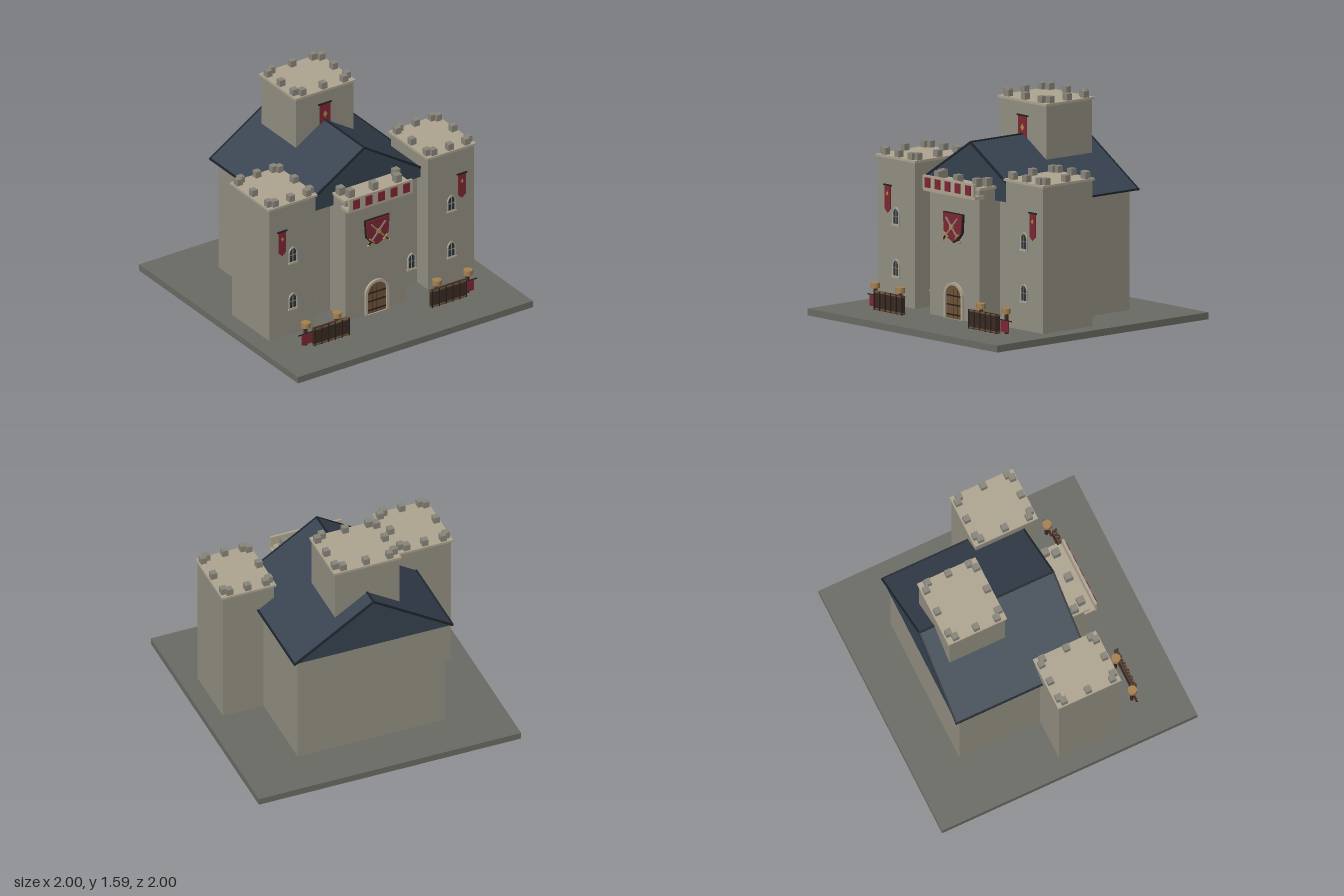
import * as THREE from 'three';

const mat = (color) => new THREE.MeshStandardMaterial({ color, flatShading: true });
const M = {
  base: mat(0x6b6b64), wall: mat(0x928e81), trim: mat(0xaea48f), merlon: mat(0x88857a),
  roof: mat(0x36424f), edge: mat(0x1c242c), red: mat(0x7c2633), gold: mat(0xb08a45),
  glass: mat(0x263440), wood: mat(0x6e5238), darkWood: mat(0x3b2a22), iron: mat(0x24221f), tan: mat(0xa5804f),
};

function add(parent, name, geo, material, x = 0, y = 0, z = 0) {
  const mesh = new THREE.Mesh(geo, material);
  mesh.name = name;
  mesh.position.set(x, y, z);
  parent.add(mesh);
  return mesh;
}

// Box given by its extents on each axis
function box(parent, name, material, x0, x1, y0, y1, z0, z1) {
  return add(parent, name, new THREE.BoxGeometry(x1 - x0, y1 - y0, z1 - z0), material,
    (x0 + x1) / 2, (y0 + y1) / 2, (z0 + z1) / 2);
}

function group(parent, name, x = 0, y = 0, z = 0) {
  const g = new THREE.Group();
  g.name = name;
  g.position.set(x, y, z);
  parent.add(g);
  return g;
}

const extrude = (shape, depth) =>
  new THREE.ExtrudeGeometry(shape, { depth, bevelEnabled: false, curveSegments: 8 });
const polygon = (pts) => new THREE.Shape(pts.map(([x, y]) => new THREE.Vector2(x, y)));

// Round-headed outline standing on y0
function archPath(Type, w, h, y0 = 0) {
  const p = new Type();
  p.moveTo(-w, y0);
  p.lineTo(w, y0);
  p.lineTo(w, h - w);
  p.absarc(0, h - w, w, 0, Math.PI, false);
  p.lineTo(-w, y0);
  return p;
}

// Pointed outline for the windows
function lancet(Type, w, h, y0 = 0) {
  const p = new Type();
  p.moveTo(-w, y0);
  p.lineTo(w, y0);
  p.lineTo(w, h - 1.5 * w);
  p.quadraticCurveTo(w, h - 0.5 * w, 0, h);
  p.quadraticCurveTo(-w, h - 0.5 * w, -w, h - 1.5 * w);
  p.lineTo(-w, y0);
  return p;
}

function windowAt(parent, x, y, z) {
  const g = group(parent, 'window', x, y, z);
  const frame = lancet(THREE.Shape, 0.035, 0.13);
  frame.holes.push(lancet(THREE.Path, 0.027, 0.12, 0.008));
  add(g, 'windowFrame', extrude(frame, 0.01), M.trim);
  add(g, 'windowGlass', extrude(lancet(THREE.Shape, 0.028, 0.121, 0.006), 0.004), M.glass);
  box(g, 'mullion', M.merlon, -0.002, 0.002, 0.008, 0.118, 0.003, 0.007);
  box(g, 'transom', M.merlon, -0.026, 0.026, 0.06, 0.064, 0.003, 0.007);
  box(g, 'windowSill', M.trim, -0.04, 0.04, -0.006, 0.006, 0, 0.015);
}

// Hanging banner; y is its top edge
function banner(parent, x, y, z, w, h) {
  const g = group(parent, 'banner', x, y, z);
  const a = w / 2;
  add(g, 'bannerCloth', extrude(polygon([[-a, 0], [-a, -h * 0.86], [0, -h], [a, -h * 0.86], [a, 0]]), 0.006), M.red);
  const d = w * 0.2;
  add(g, 'bannerDiamond', extrude(polygon([[0, d * 1.5], [-d, 0], [0, -d * 1.5], [d, 0]]), 0.003), M.gold, 0, -w * 0.95, 0.005);
  box(g, 'bannerRod', M.iron, -a - 0.012, a + 0.012, -0.004, 0.006, -0.001, 0.009);
}

// Square tower with cap slab and a ring of merlons
function tower(parent, name, x, z, hx, hz, y0, y1, along, across) {
  const g = group(parent, name, x, 0, z);
  box(g, 'towerWall', M.wall, -hx, hx, y0, y1, -hz, hz);
  box(g, 'towerCap', M.trim, -hx - 0.012, hx + 0.012, y1 - 0.005, y1 + 0.012, -hz - 0.012, hz + 0.012);
  const merlon = (mx, mz) => add(g, 'merlon', new THREE.BoxGeometry(0.046, 0.05, 0.046), M.merlon, mx, y1 + 0.035, mz);
  for (const s of [-1, 1]) for (const k of [-1, 0, 1]) {
    merlon(k * along, s * (hz - 0.022));
    merlon(s * (hx - 0.021), k * across);
  }
  return g;
}

function hall(parent) {
  const g = group(parent, 'hall');
  box(g, 'hallWall', M.wall, -0.56, 0.56, 0.05, 0.9, -0.65, 0.31);
  add(g, 'roof', extrude(polygon([[-0.605, 0.915], [0.605, 0.915], [0, 1.3]]), 1.05), M.roof, 0, 0, -0.695);
  // dark strips along gables, eaves and ridge
  const len = Math.hypot(0.605, 0.385);
  for (const s of [-1, 1]) {
    for (const z of [-0.695, 0.355]) {
      const m = add(g, 'gableTrim', new THREE.BoxGeometry(len, 0.014, 0.012), M.edge, s * 0.3025, 1.1035, z);
      m.rotation.z = -s * Math.atan2(0.385, 0.605);
    }
    box(g, 'eaveTrim', M.edge, s * 0.603 - 0.006, s * 0.603 + 0.006, 0.91, 0.922, -0.7, 0.36);
    windowAt(g, s * 0.43, 0.17, 0.31);
  }
  box(g, 'ridgeTrim', M.edge, -0.007, 0.007, 1.29, 1.304, -0.7, 0.36);
}

function sword(parent, tilt) {
  const g = group(parent, 'sword', 0, 0, 0.031);
  box(g, 'swordBlade', M.merlon, -0.006, 0.006, -0.08, 0.09, -0.003, 0.004);
  box(g, 'swordGuard', M.gold, -0.025, 0.025, -0.09, -0.08, -0.005, 0.006);
  box(g, 'swordGrip', M.iron, -0.005, 0.005, -0.125, -0.09, -0.004, 0.005);
  add(g, 'swordPommel', new THREE.SphereGeometry(0.01, 8, 6), M.gold, 0, -0.13, 0);
  g.rotation.z = tilt;
}

function gatehouse(parent) {
  const g = group(parent, 'gatehouse');
  box(g, 'gateWall', M.wall, -0.26, 0.26, 0.05, 1.0, 0.2, 0.505);
  box(g, 'gateCap', M.trim, -0.272, 0.272, 1.0, 1.02, 0.2, 0.512);
  for (const x of [-0.2, 0, 0.2]) box(g, 'merlon', M.merlon, x - 0.025, x + 0.025, 1.02, 1.08, 0.445, 0.5);
  for (const s of [-1, 1]) box(g, 'merlon', M.merlon, s * 0.235 - 0.025, s * 0.235 + 0.025, 1.02, 1.08, 0.38, 0.43);
  // projecting ledge and parapet with hanging cloths
  box(g, 'ledge', M.trim, -0.275, 0.275, 0.94, 0.965, 0.47, 0.56);
  box(g, 'parapet', M.trim, -0.27, 0.27, 0.96, 1.055, 0.55, 0.568);
  for (let i = -2; i <= 2; i++) box(g, 'parapetCloth', M.red, i * 0.107 - 0.027, i * 0.107 + 0.027, 0.97, 1.04, 0.565, 0.577);

  // shield with crossed swords
  const s = group(g, 'shield', 0, 0.71, 0.505);
  const shape = (k) => polygon([[-0.105, 0.1], [-0.095, -0.04], [-0.055, -0.085], [0, -0.115],
    [0.055, -0.085], [0.095, -0.04], [0.105, 0.1]].map(([x, y]) => [x * k, y * k]));
  add(s, 'shieldRim', extrude(shape(1), 0.016), M.iron);
  add(s, 'shieldFace', extrude(shape(0.94), 0.024), M.red);
  sword(s, 0.74);
  sword(s, -0.74);
  const boss = add(s, 'shieldBoss', new THREE.CylinderGeometry(0.018, 0.018, 0.012, 12), M.gold, 0, 0, 0.033);
  boss.rotation.x = Math.PI / 2;

  // arched door
  const d = group(g, 'door', 0, 0.05, 0.505);
  const surround = archPath(THREE.Shape, 0.1, 0.262);
  surround.holes.push(archPath(THREE.Path, 0.08, 0.242, 0.001));
  add(d, 'doorSurround', extrude(surround, 0.018), M.trim);
  add(d, 'doorLeaf', extrude(archPath(THREE.Shape, 0.081, 0.243), 0.008), M.wood);
  for (const x of [-0.04, 0, 0.04]) box(d, 'plankGap', M.darkWood, x - 0.0015, x + 0.0015, 0.002, 0.21, 0.007, 0.009);
  for (const y of [0.03, 0.1, 0.165]) box(d, 'doorStrap', M.iron, -0.075, 0.075, y - 0.005, y + 0.005, 0.006, 0.012);
}

// Wooden barricade with capped posts and a small pennant; s mirrors it
function barricade(parent, s) {
  const g = group(parent, 'barricade', s * 0.5, 0, 0);
  box(g, 'barricadeBoard', M.darkWood, -0.15, 0.15, 0.05, 0.185, 0.66, 0.685);
  for (let i = 0; i < 6; i++) {
    const x = -0.145 + i * 0.058;
    box(g, 'barricadeSlat', M.iron, x - 0.004, x + 0.004, 0.05, 0.188, 0.683, 0.692);
  }
  for (const y of [0.06, 0.18]) box(g, 'barricadeRail', M.wood, -0.152, 0.152, y - 0.005, y + 0.005, 0.658, 0.69);
  for (const px of [-0.075, 0.19]) {
    const x = s * px;
    add(g, 'post', new THREE.CylinderGeometry(0.014, 0.014, 0.15, 8), M.darkWood, x, 0.125, 0.635);
    add(g, 'postCap', new THREE.CylinderGeometry(0.033, 0.033, 0.038, 16), M.tan, x, 0.215, 0.64);
  }
  box(g, 'pennantRod', M.iron, s * 0.19 - 0.07, s * 0.19 + 0.07, 0.143, 0.15, 0.644, 0.65);
  box(g, 'pennant', M.red, s * 0.19 - 0.042, s * 0.19 + 0.042, 0.065, 0.145, 0.648, 0.655);
}

export function createModel() {
  const root = new THREE.Group();
  root.name = 'castle';
  box(root, 'ground', M.base, -1, 1, 0, 0.05, -1, 1);
  hall(root);
  gatehouse(root);
  const keep = tower(root, 'keep', 0, -0.36, 0.245, 0.217, 0.92, 1.532, 0.178, 0.163);
  banner(keep, 0, 1.43, 0.218, 0.09, 0.26);
  for (const s of [-1, 1]) {
    const t = tower(root, 'cornerTower', s * 0.675, 0.215, 0.195, 0.235, 0.05, 1.1, 0.14, 0.19);
    windowAt(t, 0, 0.625, 0.235);
    windowAt(t, 0, 0.255, 0.235);
    banner(t, s * 0.09, 0.9, 0.236, 0.062, 0.195);
    barricade(root, s);
  }
  return root;
}
